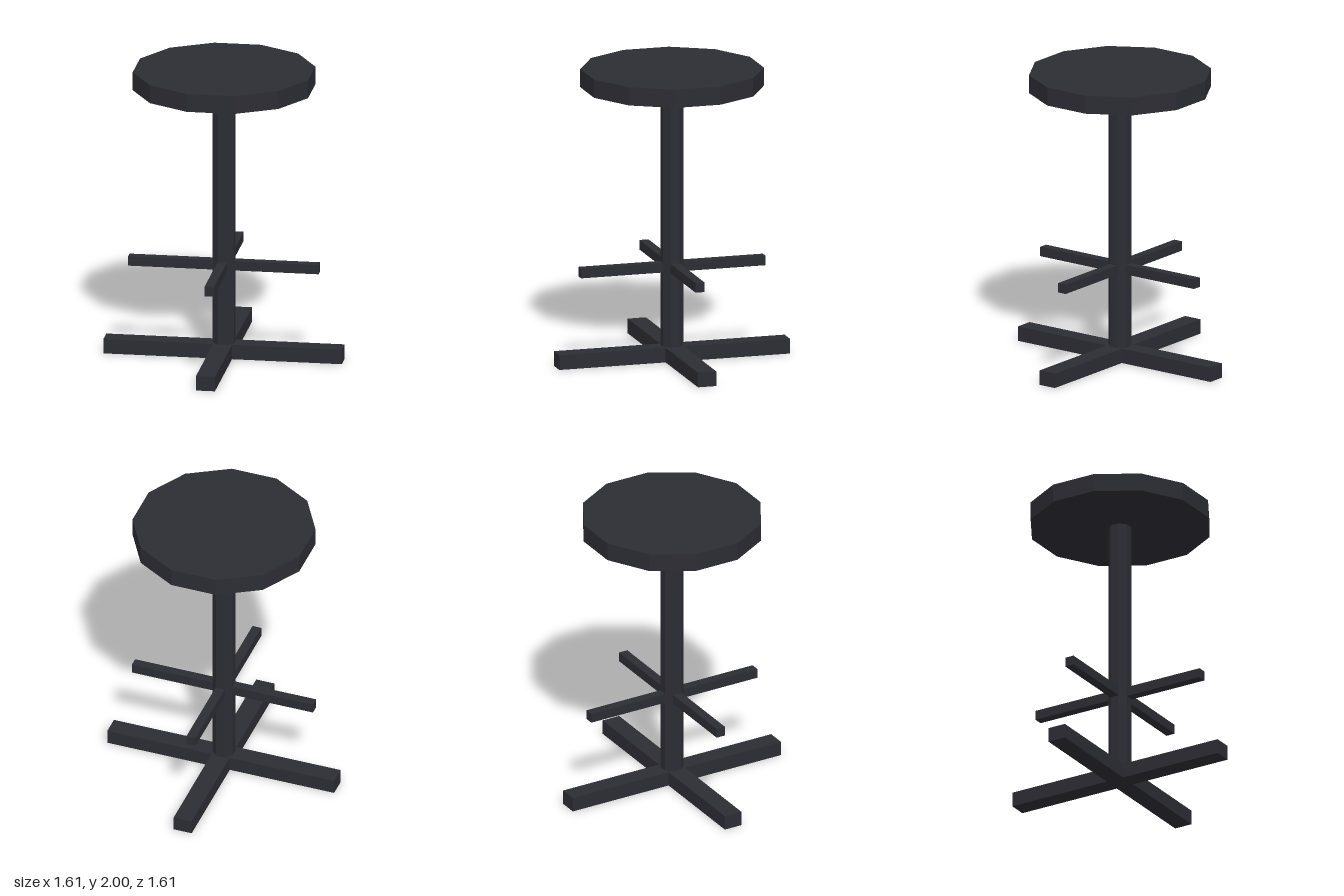
import * as THREE from 'three';

const darkPaint = new THREE.MeshStandardMaterial({ color: 0x2c2c34, flatShading: true });
darkPaint.name = 'darkPaint';

// Upright prism with a flat side facing the front
function prism(name, apothem, sides, bottom, top) {
  const radius = apothem / Math.cos(Math.PI / sides);
  const geometry = new THREE.CylinderGeometry(radius, radius, top - bottom, sides, 1, false, Math.PI / sides);
  const mesh = new THREE.Mesh(geometry, darkPaint);
  mesh.position.y = (bottom + top) / 2;
  mesh.name = name;
  return mesh;
}

// Flat four-armed cross, extruded upwards
function cross(name, reach, halfWidth, bottom, top) {
  const points = [];
  for (let i = 0; i < 4; i++) {
    const centre = new THREE.Vector2();
    for (const [x, y] of [[reach, -halfWidth], [reach, halfWidth], [halfWidth, halfWidth]]) {
      points.push(new THREE.Vector2(x, y).rotateAround(centre, i * Math.PI / 2));
    }
  }
  const geometry = new THREE.ExtrudeGeometry(new THREE.Shape(points), { depth: top - bottom, bevelEnabled: false });
  geometry.rotateX(-Math.PI / 2);
  const mesh = new THREE.Mesh(geometry, darkPaint);
  mesh.position.y = bottom;
  mesh.name = name;
  return mesh;
}

export function createModel() {
  const stool = new THREE.Group();
  stool.name = 'stool';
  stool.add(
    prism('seat', 0.592, 12, 1.875, 2),
    prism('post', 0.072, 8, 0.05, 1.88),
    cross('footrest', 0.643, 0.032, 0.61, 0.675),
    cross('base', 0.805, 0.064, 0, 0.1),
  );
  return stool;
}
